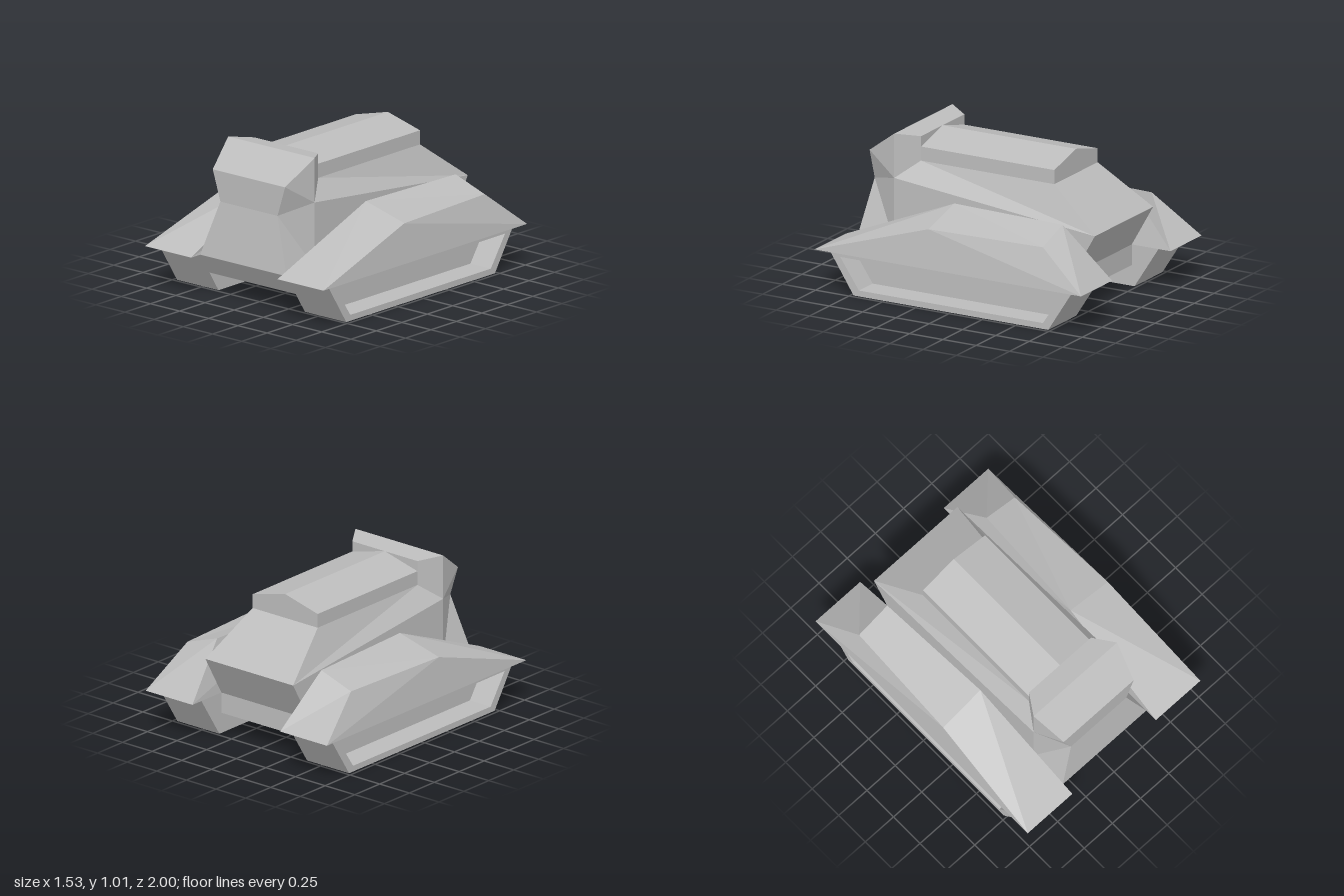
import * as THREE from 'three';

const hullGrey = new THREE.MeshStandardMaterial({ color: 0xbcbcbc });
hullGrey.name = 'hullGrey';

// Flat-faced mesh from convex polygons of [x, y, z] corners
function facets(name, polys) {
  const pos = [];
  for (const p of polys)
    for (let i = 1; i < p.length - 1; i++) pos.push(...p[0], ...p[i], ...p[i + 1]);
  const geo = new THREE.BufferGeometry();
  geo.setAttribute('position', new THREE.Float32BufferAttribute(pos, 3));
  geo.computeVertexNormals();
  return named(name, geo);
}

function named(name, geo) {
  const mesh = new THREE.Mesh(geo, hullGrey);
  mesh.name = name;
  return mesh;
}

const flip = ([x, y, z]) => [-x, y, z];
const mirror = (poly) => poly.map(flip).reverse();
const outline = (pts) => pts.map(([a, b]) => new THREE.Vector2(a, b));

// Side profile (points are [-z, y]) extruded along x from x0 to x1
function sideExtrude(name, pts, x0, x1, hole) {
  const shape = new THREE.Shape(outline(pts));
  if (hole) shape.holes.push(new THREE.Path(outline(hole)));
  const geo = new THREE.ExtrudeGeometry(shape, { depth: x1 - x0, bevelEnabled: false });
  geo.rotateY(Math.PI / 2);
  geo.translate(x0, 0, 0);
  return named(name, geo);
}

// Track pod with a deep trapezoid recess in its outer side
function trackPod(name) {
  const pod = new THREE.Group();
  pod.name = name;
  const rim = [[-0.73, 0], [0.73, 0], [0.91, 0.28], [-0.91, 0.28]];
  const recess = [[-0.69, 0.04], [-0.83, 0.245], [0.83, 0.245], [0.69, 0.04]];
  pod.add(sideExtrude('podCore', rim, 0.37, 0.55));
  pod.add(sideExtrude('podRim', rim, 0.55, 0.725, recess));
  return pod;
}

// Sloped armour over a track: four base corners, four top corners
function fenderFaces() {
  const p = [
    [0.37, 0.28, 1], [0.765, 0.28, 1], [0.765, 0.28, -1], [0.37, 0.28, -1],
    [0.4, 0.625, 0.165], [0.73, 0.54, 0.165], [0.69, 0.54, -0.67], [0.44, 0.625, -0.67],
  ];
  return [
    [0, 1, 4], [1, 5, 4], [1, 2, 5], [2, 6, 5], [2, 3, 7, 6],
    [3, 0, 4, 7], [4, 5, 6, 7], [3, 2, 1, 0],
  ].map((f) => f.map((i) => p[i]));
}

// Upper hull with the raised, pinched head at the front
function upperHull() {
  const noseBase = [0.37, 0.28, 0.91], pinch = [0.245, 0.65, 0.855], brow = [0.31, 0.855, 0.855];
  const crest = [0.37, 1.015, 0.635], neckTop = [0.275, 0.995, 0.49], neckLow = [0.275, 0.83, 0.49];
  const cheek = [0.37, 0.715, 0.635], sill = [0.37, 0.28, 0.635];
  const deckRear = [0.275, 0.83, -0.51], tail = [0.37, 0.56, -0.87], tailBase = [0.37, 0.28, -0.71];
  const polys = [];
  // Panels spanning the full width, from the nose over the top to the tail
  const rail = [noseBase, pinch, brow, crest, neckTop, neckLow, deckRear, tail, tailBase];
  for (let i = 0; i < rail.length - 1; i++)
    polys.push([flip(rail[i]), rail[i], rail[i + 1], flip(rail[i + 1])]);
  // Side panels, mirrored
  const sides = [
    [noseBase, sill, pinch], [pinch, sill, cheek], [pinch, cheek, brow], [brow, cheek, crest],
    [crest, cheek, neckLow, neckTop], [cheek, tail, neckLow], [neckLow, tail, deckRear],
    [sill, tailBase, tail, cheek],
  ];
  for (const s of sides) polys.push(s, mirror(s));
  return facets('upperHull', polys);
}

export function createModel() {
  const model = new THREE.Group();
  model.name = 'armouredVehicle';

  model.add(upperHull());

  // Long gabled roof behind the head
  const gable = new THREE.Shape(outline([
    [-0.275, 0.83], [0.275, 0.83], [0.275, 0.925], [0, 0.995], [-0.275, 0.925],
  ]));
  const roof = new THREE.ExtrudeGeometry(gable, { depth: 1, bevelEnabled: false });
  roof.translate(0, 0, -0.51);
  model.add(named('roof', roof));

  // Belly between the tracks
  model.add(sideExtrude('belly',
    [[-0.82, 0.14], [0.71, 0.14], [0.71, 0.28], [-0.91, 0.28]], -0.37, 0.37));

  // Tracks and fenders on both sides
  const rightPod = trackPod('rightTrackPod');
  rightPod.rotation.y = Math.PI;
  model.add(trackPod('leftTrackPod'), rightPod);
  model.add(facets('leftFender', fenderFaces()));
  model.add(facets('rightFender', fenderFaces().map(mirror)));

  return model;
}
